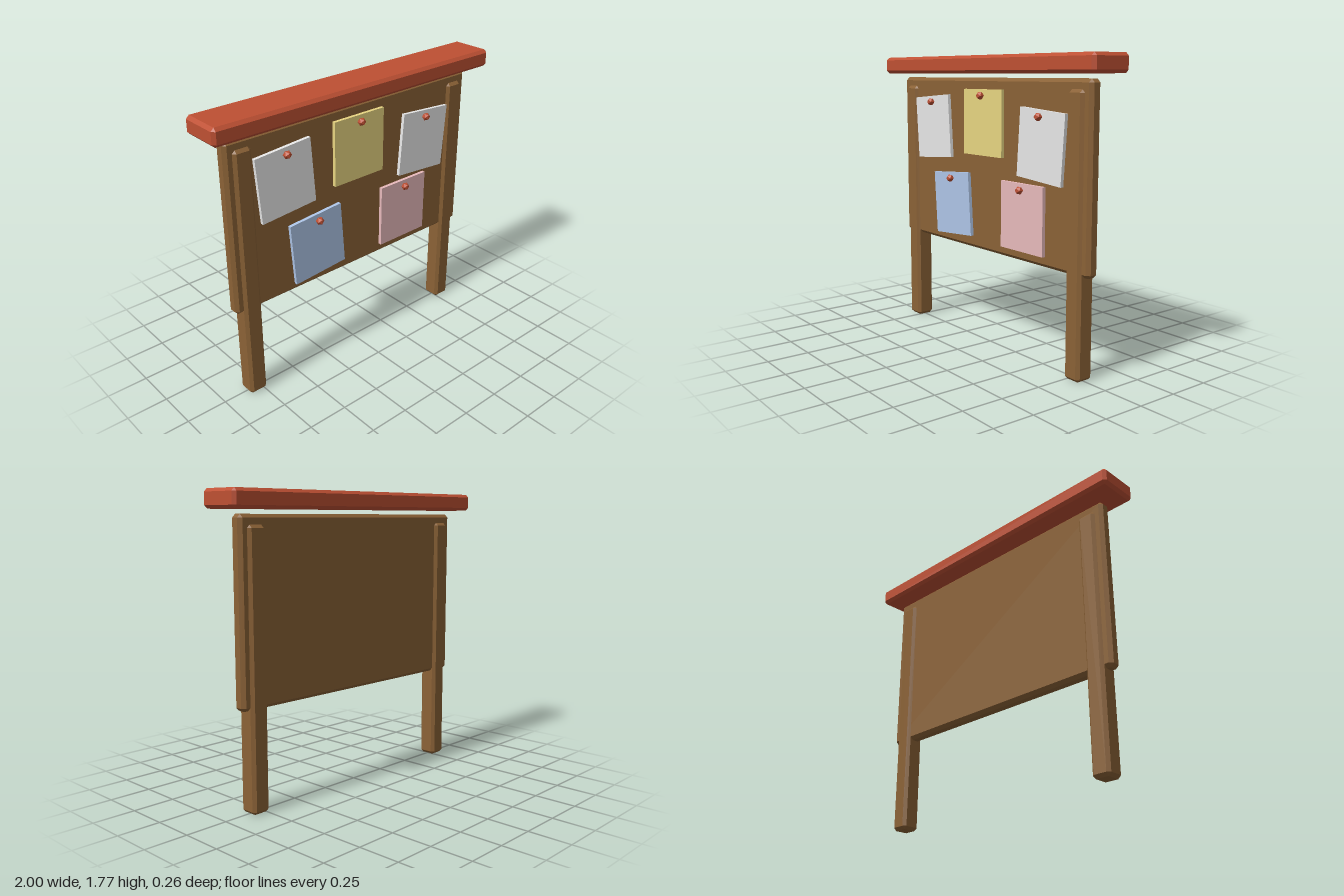
import * as THREE from 'three';
import { ConvexGeometry } from 'three/addons/geometries/ConvexGeometry.js';

// Box with flat chamfers of width c along every edge
function chamferBox(w, h, d, c) {
  const half = [w / 2, h / 2, d / 2];
  const points = [];
  for (const sx of [-1, 1]) for (const sy of [-1, 1]) for (const sz of [-1, 1]) {
    for (let face = 0; face < 3; face++) {
      const p = half.map((v, axis) => (axis === face ? v : v - c));
      points.push(new THREE.Vector3(p[0] * sx, p[1] * sy, p[2] * sz));
    }
  }
  return new ConvexGeometry(points);
}

function material(name, color) {
  const m = new THREE.MeshStandardMaterial({ color });
  m.name = name;
  return m;
}

export function createModel() {
  const group = new THREE.Group();
  group.name = 'noticeBoard';

  const wood = material('wood', 0x8b6236);
  const red = material('red', 0xbe5033);
  const white = material('white', 0xeeeeee);
  const yellow = material('yellow', 0xeedb85);
  const blue = material('blue', 0xb8d0f4);
  const pink = material('pink', 0xeebfc1);

  function add(name, geometry, mat, x, y, z, turn = 0) {
    const mesh = new THREE.Mesh(geometry, mat);
    mesh.name = name;
    mesh.position.set(x, y, z);
    mesh.rotation.z = turn;
    group.add(mesh);
  }

  // Board, roof beam and the two posts
  add('board', chamferBox(1.79, 1.05, 0.08, 0.02), wood, 0, 1.11, 0);
  add('roof', chamferBox(2, 0.105, 0.262, 0.018), red, 0, 1.713, 0);
  const post = chamferBox(0.115, 1.58, 0.115, 0.018);
  add('leftPost', post, wood, 0.79, 0.79, 0);
  add('rightPost', post, wood, -0.79, 0.79, 0);

  // Pinned notes: centre x, centre y, turn, colour
  const notes = [
    [-0.528, 1.32, 0.075, white],
    [0, 1.37, 0, yellow],
    [0.525, 1.267, -0.075, white],
    [-0.317, 0.845, 0.075, blue],
    [0.367, 0.845, 0, pink],
  ];
  const sheet = new THREE.BoxGeometry(0.37, 0.395, 0.022);
  const pin = new THREE.IcosahedronGeometry(0.025, 0);
  notes.forEach(([x, y, turn, mat], i) => {
    add(`note${i + 1}`, sheet, mat, x, y, 0.05, turn);
    add(`pin${i + 1}`, pin, red, x, y + 0.16, 0.077);
  });

  return group;
}
